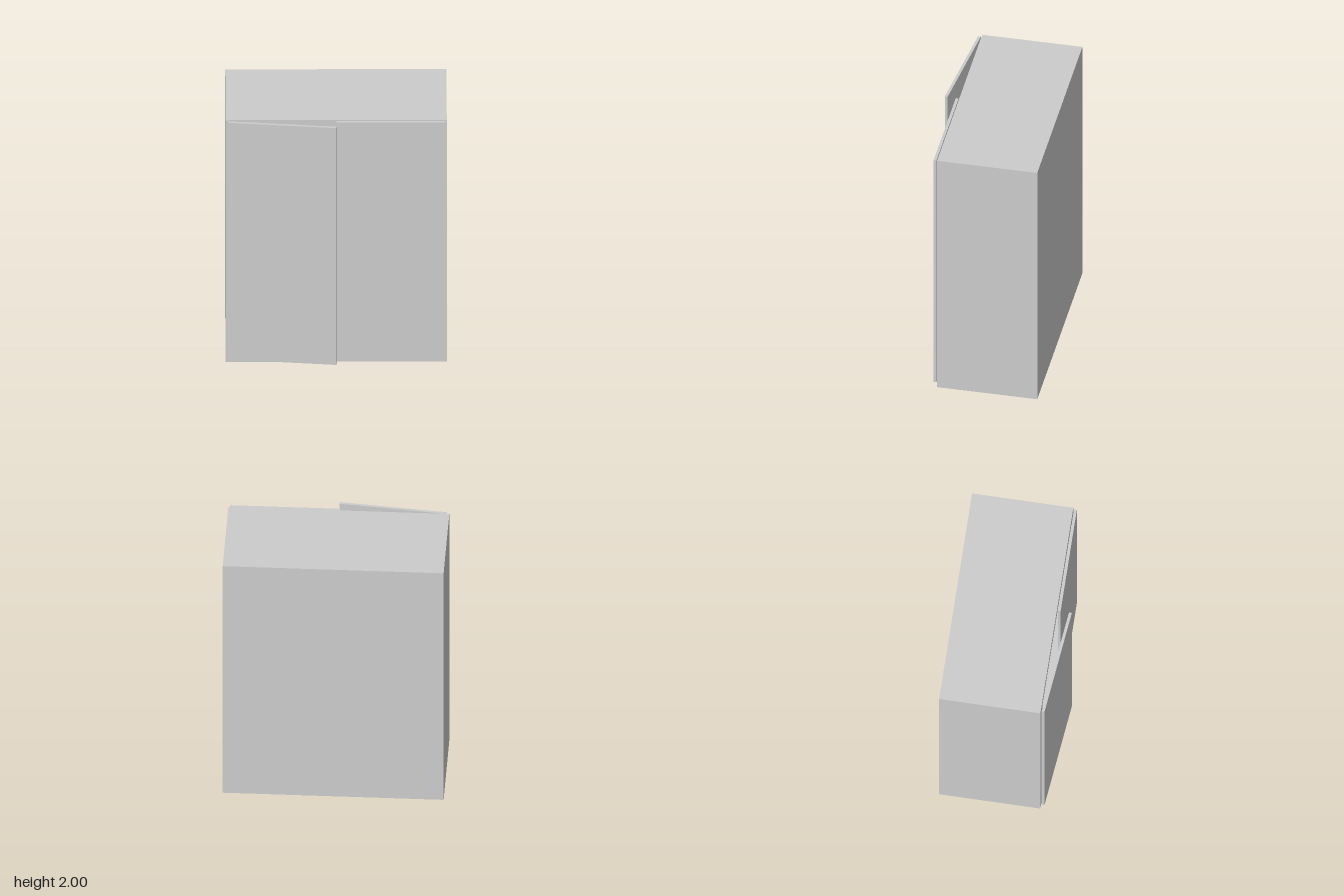
import * as THREE from 'three';

const material = new THREE.MeshStandardMaterial({ color: 0xcccccc, flatShading: true });

// Box given by its lower and upper corners
function panel(name, [x0, y0, z0], [x1, y1, z1]) {
  const mesh = new THREE.Mesh(new THREE.BoxGeometry(x1 - x0, y1 - y0, z1 - z0), material);
  mesh.name = name;
  mesh.position.set((x0 + x1) / 2, (y0 + y1) / 2, (z0 + z1) / 2);
  return mesh;
}

export function createModel() {
  const model = new THREE.Group();
  model.name = 'cabinet';
  const W = 0.795, H = 2, back = -0.424, front = 0.312, wall = 0.095, cavityBack = -0.11;

  // Carcass: one solid outer shell with a recess open to the front
  const outline = new THREE.Shape([[-W, 0], [W, 0], [W, H], [-W, H]].map(p => new THREE.Vector2(...p)));
  const a = W - wall, b = H - wall;
  outline.holes.push(new THREE.Path([[-a, wall], [-a, b], [a, b], [a, wall]].map(p => new THREE.Vector2(...p))));
  const frame = new THREE.Mesh(
    new THREE.ExtrudeGeometry(outline, { depth: front - cavityBack, bevelEnabled: false }), material);
  frame.name = 'carcassFrame';
  frame.position.z = cavityBack;
  model.add(frame, panel('carcassBack', [-W, 0, back], [W, H, cavityBack]));

  // Closed door on the model's left
  const y0 = 0.035, y1 = 1.995, thick = 0.021;
  model.add(panel('leftDoor', [0.003, y0, 0.318], [0.785, y1, 0.318 + thick]));

  // Door on the model's right, hinged at its outer edge and slightly ajar
  const hinge = new THREE.Group();
  hinge.name = 'rightDoorHinge';
  hinge.position.set(-0.776, 0, 0.318);
  hinge.rotation.y = -0.105;
  hinge.add(panel('rightDoor', [0, y0, 0], [0.782, y1, thick]));
  model.add(hinge);

  return model;
}
